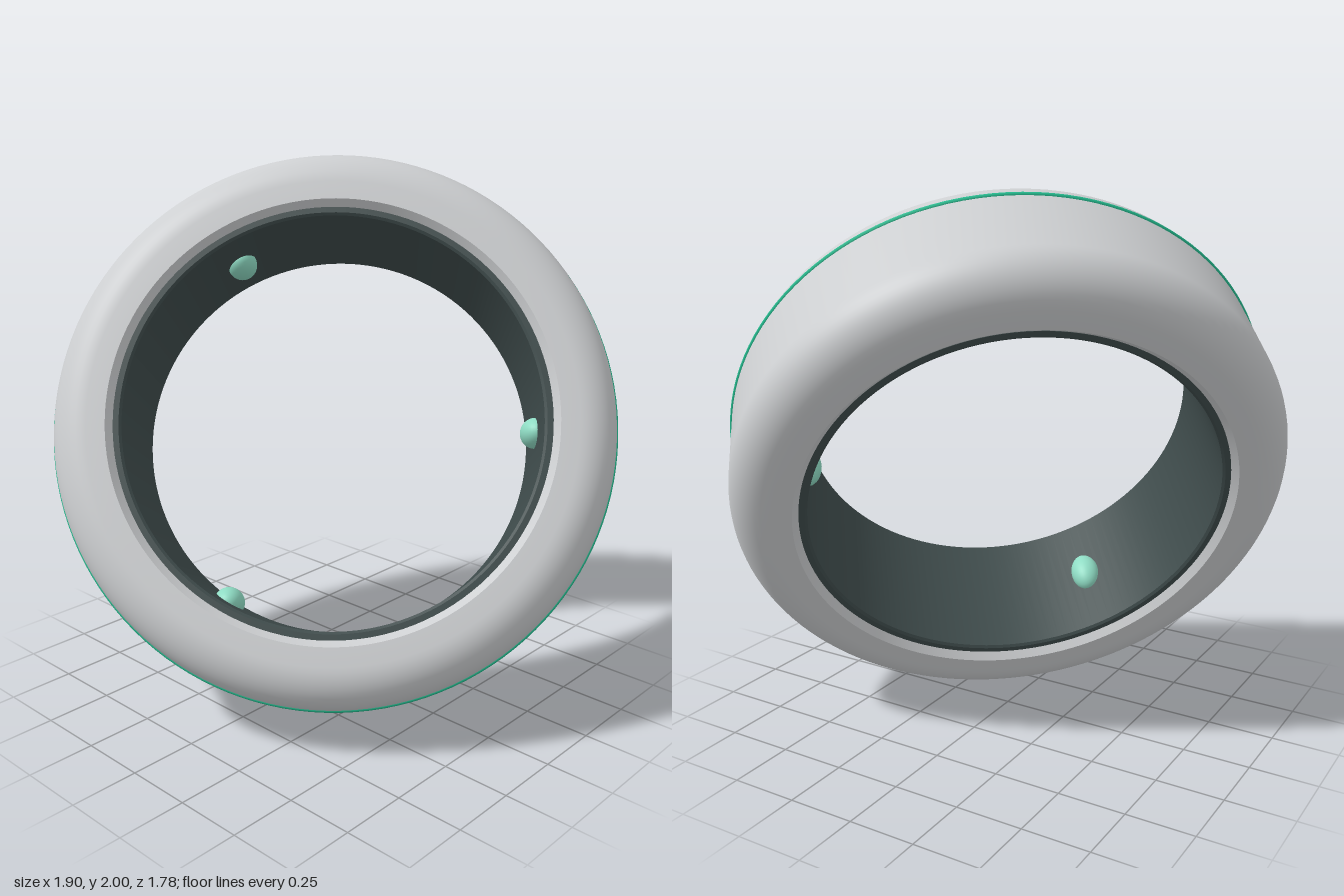
import * as THREE from 'three';
import { toCreasedNormals } from 'three/addons/utils/BufferGeometryUtils.js';

const mat = (name, color) => {
  const m = new THREE.MeshStandardMaterial({ color });
  m.name = name;
  return m;
};

export function createModel() {
  const silver = mat('silver', 0xcdcfd1);
  const charcoal = mat('charcoal', 0x3f4c4c);
  const green = mat('green', 0x25bd90);
  const mint = mat('mint', 0x8fdcc4);

  const model = new THREE.Group();
  model.name = 'ring';

  // The ring is built around z, then tilted as a whole
  const tilted = new THREE.Group();
  tilted.name = 'tiltedRing';
  tilted.rotation.set(-0.4625, 0.698, 0, 'YXZ');
  tilted.position.y = 1;
  model.add(tilted);

  const add = (name, geometry, material) => {
    const mesh = new THREE.Mesh(geometry, material);
    mesh.name = name;
    tilted.add(mesh);
    return mesh;
  };

  // Revolve a half profile of [radius, depth] points, mirrored front to back
  const revolve = (half) => {
    const back = half.map(([r, d]) => [r, -d]).reverse();
    const points = [...back, ...half].map(([r, d]) => new THREE.Vector2(r, d));
    const lathe = new THREE.LatheGeometry(points, 128).rotateX(Math.PI / 2);
    return toCreasedNormals(lathe, 0.4);
  };

  // Outer shell: rounded shoulders, flat faces, chamfered inner edges
  const outer = 1.018, corner = 0.15, halfWidth = 0.31;
  const shell = [];
  for (let i = 0; i <= 12; i++) {
    const a = (i / 12) * Math.PI / 2;
    shell.push([
      outer - corner + corner * Math.cos(a),
      halfWidth - corner + corner * Math.sin(a),
    ]);
  }
  shell.push([0.8, halfWidth], [0.775, 0.277]);
  add('outerShell', revolve(shell), silver);

  // Inner liner: end rims with a small bevel, and the inside wall
  const wall = new THREE.CylinderGeometry(0.748, 0.748, 0.55, 128, 1, true);
  wall.rotateX(Math.PI / 2);
  const liner = add('linerWall', wall, charcoal);
  liner.material.side = THREE.DoubleSide;
  const rim = [[0.778, 0.283], [0.757, 0.283], [0.748, 0.275]].map(([r, d]) => new THREE.Vector2(r, d));
  for (const side of [0, 1]) {
    const geometry = new THREE.LatheGeometry(rim, 128).rotateX(Math.PI / 2);
    add('linerRim', toCreasedNormals(geometry, 0.4), charcoal).rotation.y = side * Math.PI;
  }

  // Thin accent line at the front shoulder
  const accent = add('accentLine', new THREE.TorusGeometry(1.016, 0.009, 8, 128), green);
  accent.position.z = 0.16;

  // Three sensor domes, evenly spaced on the inside wall
  for (let i = 0; i < 3; i++) {
    const a = (i * Math.PI * 2) / 3;
    const dome = add('sensorDome', new THREE.SphereGeometry(1, 32, 20), mint);
    dome.scale.set(0.055, 0.057, 0.085);
    dome.position.set(0.748 * Math.cos(a), 0.748 * Math.sin(a), 0);
    dome.rotation.z = a;
  }

  return model;
}
